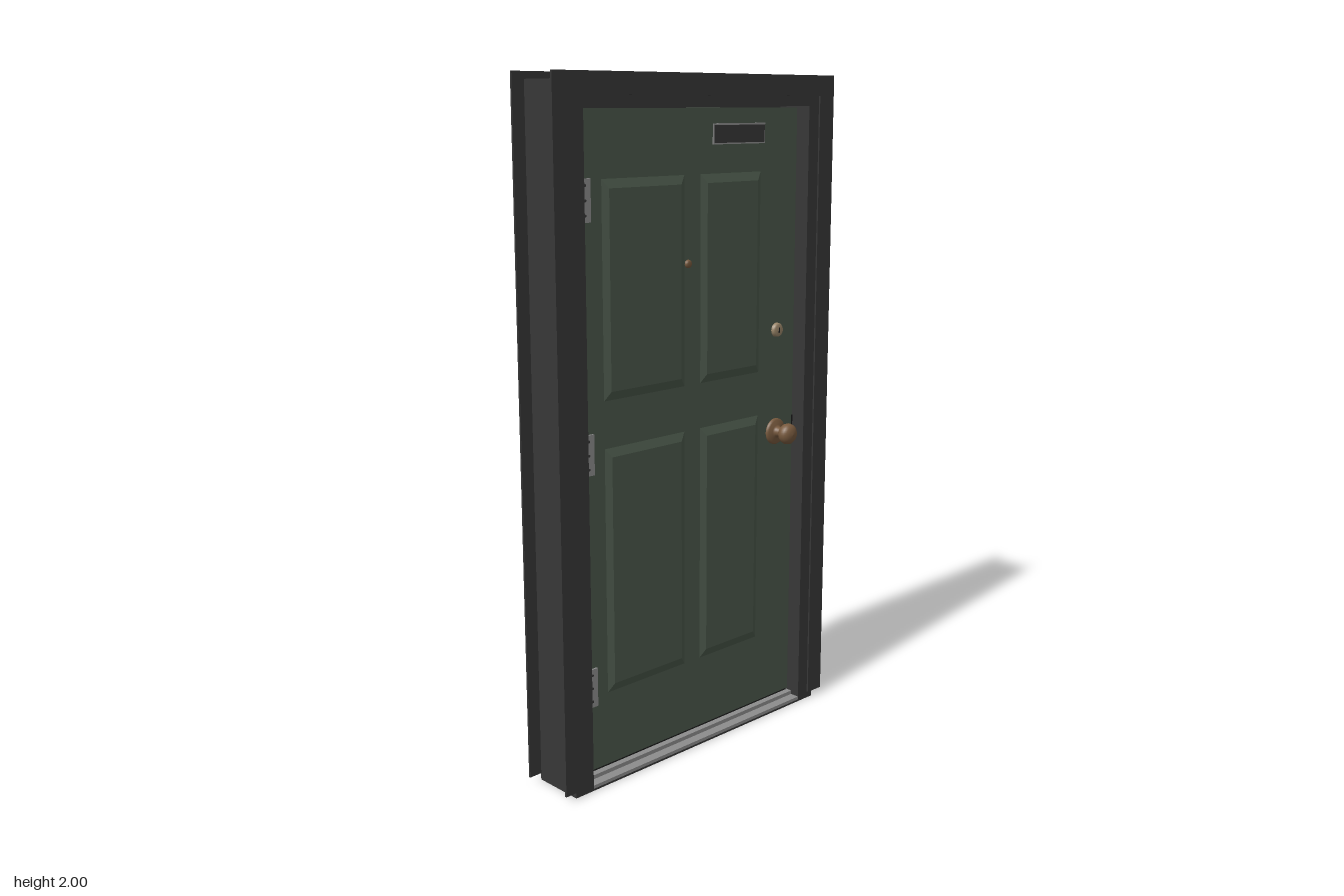
import * as THREE from 'three';

const mat = (name, color) => {
  const m = new THREE.MeshStandardMaterial({ color });
  m.name = name;
  return m;
};

export function createModel() {
  const charcoal = mat('charcoal frame', 0x373737);
  const green = mat('green door', 0x4a574a);
  const silver = mat('silver metal', 0x8c8c8c);
  const bronze = mat('bronze', 0x785a3e);
  const brass = mat('pale brass', 0x988468);
  const black = mat('black rubber', 0x1c1c1c);

  const door = new THREE.Group();
  door.name = 'framedDoor';

  const add = (name, geo, material, x = 0, y = 0, z = 0, parent = door) => {
    const mesh = new THREE.Mesh(geo, material);
    mesh.name = name;
    mesh.position.set(x, y, z);
    parent.add(mesh);
    return mesh;
  };
  // Box given by its limits on each axis
  const block = (name, material, [x0, x1], [y0, y1], [z0, z1], parent) =>
    add(name, new THREE.BoxGeometry(x1 - x0, y1 - y0, z1 - z0), material,
      (x0 + x1) / 2, (y0 + y1) / 2, (z0 + z1) / 2, parent);
  // Upside-down U running round the doorway
  const arch = (name, outX, outY, inX, inY, bottom, z0, z1) => {
    const shape = new THREE.Shape([
      [-outX, bottom], [-inX, bottom], [-inX, inY], [inX, inY],
      [inX, bottom], [outX, bottom], [outX, outY], [-outX, outY],
    ].map(([x, y]) => new THREE.Vector2(x, y)));
    const geo = new THREE.ExtrudeGeometry(shape, { depth: z1 - z0, bevelEnabled: false });
    return add(name, geo, charcoal, 0, 0, z0);
  };
  // Raised panel: a box whose outer face is pulled inwards to make bevels
  const panelGeometry = (w, h, d, bevelX, bevelY) => {
    const geo = new THREE.BoxGeometry(w, h, d);
    const p = geo.attributes.position;
    for (let i = 0; i < p.count; i++) {
      if (p.getZ(i) < 0) continue;
      p.setX(i, p.getX(i) - Math.sign(p.getX(i)) * bevelX);
      p.setY(i, p.getY(i) - Math.sign(p.getY(i)) * bevelY);
    }
    geo.computeVertexNormals();
    return geo;
  };
  // Round fitting turned about z, profile given as [radius, height]
  const turned = (points, segments = 32) =>
    new THREE.LatheGeometry(points.map(([r, h]) => new THREE.Vector2(r, h)), segments)
      .rotateX(Math.PI / 2);

  // Frame, door stop and thin casings on both sides
  arch('frame', 0.505, 1.98, 0.44, 1.91, 0, -0.08, 0.08);
  arch('doorStop', 0.4405, 1.9105, 0.42, 1.89, 0.012, -0.065, -0.036);
  arch('frontCasing', 0.545, 2, 0.483, 1.94, 0.02, 0.079, 0.085);
  arch('backCasing', 0.545, 2, 0.483, 1.94, 0.02, -0.085, -0.079);

  // Threshold
  block('sillBase', charcoal, [-0.44, 0.44], [0, 0.006], [-0.08, 0.08]);
  block('threshold', silver, [-0.44, 0.44], [0.006, 0.016], [-0.08, 0.08]);
  block('thresholdRidge', silver, [-0.44, 0.44], [0.016, 0.028], [-0.05, 0.05]);
  block('bottomSeal', black, [-0.435, 0.435], [0.028, 0.036], [-0.03, 0.03]);

  // Door leaf
  const face = 0.034;
  block('doorLeaf', green, [-0.437, 0.437], [0.035, 1.906], [-face, face]);

  // Four front panels and two wide back panels
  for (const [y0, y1] of [[1.115, 1.725], [0.255, 0.985]]) {
    const h = y1 - y0, y = (y0 + y1) / 2;
    for (const [x0, x1] of [[-0.345, -0.033], [0.027, 0.281]]) {
      add('frontPanel', panelGeometry(x1 - x0, h, 0.01, 0.022, 0.028), green,
        (x0 + x1) / 2, y, face + 0.004);
    }
    const back = add('backPanel', panelGeometry(0.62, h, 0.008, 0.006, 0.006), green,
      -0.02, y, -face - 0.002);
    back.rotation.y = Math.PI;
  }

  // Dark plate with a silver rim near the top
  block('plateRim', silver, [0.077, 0.293], [1.804, 1.863], [face, face + 0.003]);
  block('plate', charcoal, [0.081, 0.289], [1.808, 1.858], [face, face + 0.005]);

  // Hinges: leaf, knuckle and screws
  for (const y of [1.668, 0.975, 0.29]) {
    const hinge = new THREE.Group();
    hinge.name = 'hinge';
    hinge.position.set(-0.437, y, face);
    door.add(hinge);
    block('hingeLeaf', silver, [0, 0.052], [-0.058, 0.058], [0, 0.006], hinge);
    add('hingeKnuckle', new THREE.CylinderGeometry(0.006, 0.006, 0.116, 12), silver, 0.004, 0, 0.008, hinge);
    for (const dy of [-0.04, 0, 0.04]) {
      add('hingeScrew', turned([[0.004, 0], [0.004, 0.001], [0, 0.001]], 10), charcoal, 0.032, dy, 0.006, hinge);
    }
  }
  block('hingeStrip', silver, [-0.438, -0.434], [0.1, 1.79], [face, face + 0.002]);

  // Knobs and locks on both sides
  const rosette = [[0.041, 0], [0.041, 0.005], [0.036, 0.01], [0.022, 0.012], [0.016, 0.016], [0.013, 0.03]];
  const knob = [[0.013, 0.028], [0.02, 0.033], [0.029, 0.042], [0.033, 0.053], [0.031, 0.064],
    [0.024, 0.072], [0.013, 0.0765], [0, 0.078]];
  for (const side of [1, -1]) {
    const set = new THREE.Group();
    set.name = side > 0 ? 'frontHandleSet' : 'backHandleSet';
    set.position.set(0.357, 0, side * face);
    if (side < 0) set.rotation.y = Math.PI;
    door.add(set);
    add('rosette', turned(rosette), bronze, 0, 0.92, 0, set);
    add('knob', turned(knob), bronze, 0, 0.92, 0, set);
    add('lockRing', turned([[0.022, 0], [0.021, 0.008], [0.017, 0.013], [0, 0.013]]), side > 0 ? brass : bronze, 0, 1.24, 0, set);
    if (side > 0) block('keyhole', black, [-0.002, 0.002], [1.232, 1.248], [0.012, 0.014], set);
    else block('thumbTurn', silver, [-0.004, 0.004], [1.224, 1.256], [0.012, 0.028], set);
  }

  // Peephole and latch
  add('peephole', turned([[0.012, 0], [0.011, 0.006], [0.006, 0.008], [0, 0.008]], 20), bronze, -0.022, 1.472, face);
  block('latchPlate', black, [0.433, 0.4385], [0.88, 0.96], [0.005, face + 0.001]);

  return door;
}
